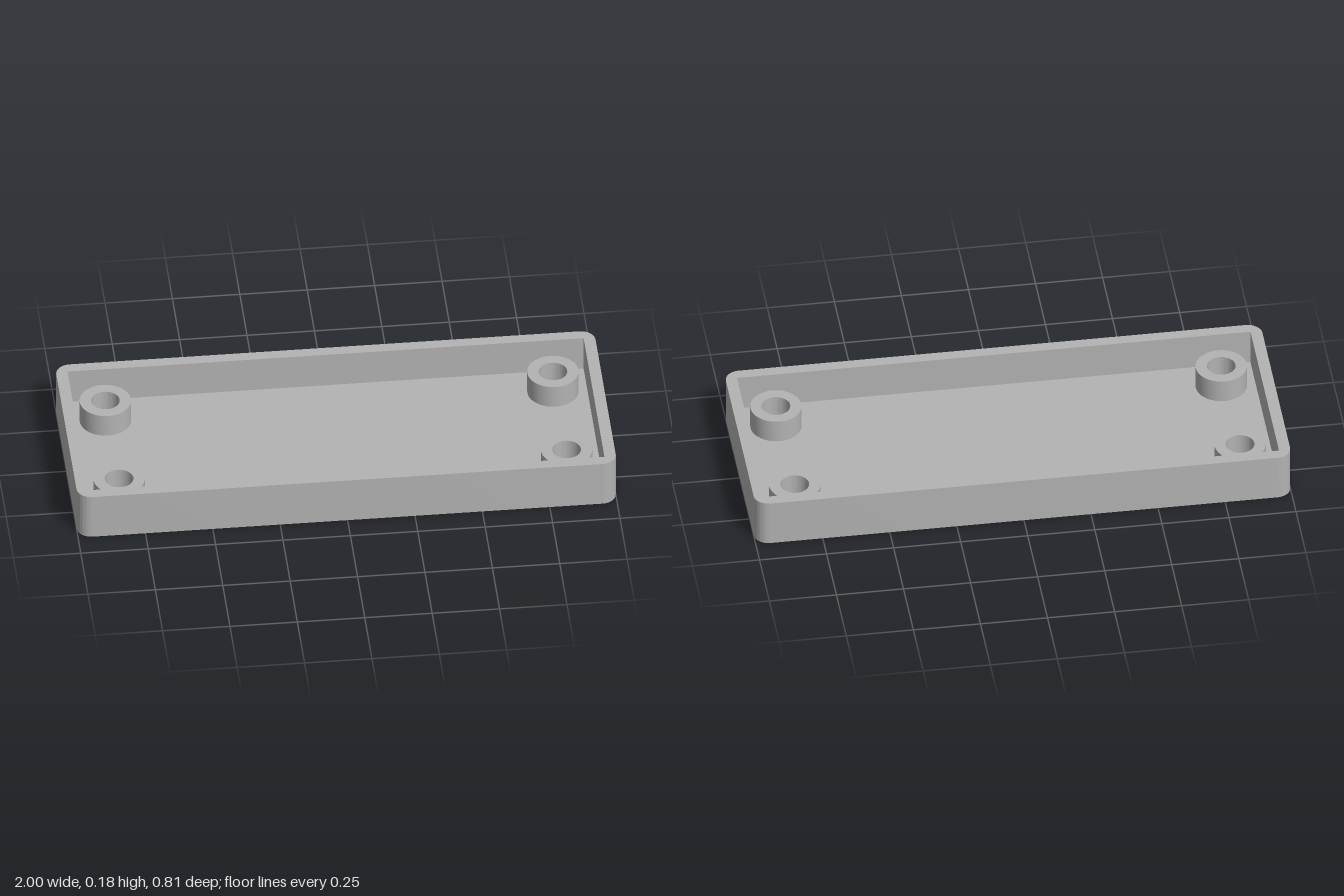
import * as THREE from 'three';
import { toCreasedNormals } from 'three/addons/utils/BufferGeometryUtils.js';

const HEIGHT = 0.184, FLOOR = 0.043, BOSS_TOP = 0.134;
const HALF_X = 1, HALF_Z = 0.405, WALL = 0.043, CORNER = 0.055;
const BOSS_R = 0.095, HOLE_R = 0.053;
const BOSSES = [[-0.83, -0.238], [0.83, -0.238], [-0.83, 0.238], [0.83, 0.238]];

// Rectangle outline, with rounded corners when r > 0
function rectangle(a, b, r) {
  const s = new THREE.Shape();
  if (!r) {
    s.moveTo(-a, -b).lineTo(a, -b).lineTo(a, b).lineTo(-a, b);
    return s;
  }
  s.absarc(a - r, -b + r, r, -Math.PI / 2, 0);
  s.absarc(a - r, b - r, r, 0, Math.PI / 2);
  s.absarc(-a + r, b - r, r, Math.PI / 2, Math.PI);
  s.absarc(-a + r, -b + r, r, Math.PI, Math.PI * 1.5);
  return s;
}

function circle([x, z], r) {
  return new THREE.Shape().absarc(x, z, r, 0, Math.PI * 2);
}

function withHoles(shape, holes) {
  shape.holes.push(...holes);
  return shape;
}

// Horizontal face at height y, facing up or down
function face(shape, y, down = false) {
  const g = new THREE.ShapeGeometry(shape, 24).toNonIndexed();
  return finish(g.attributes.position, y, down);
}

// Upright skin around an outline, facing out or inward
function skin(shape, y0, y1, inward = false) {
  const g = new THREE.ExtrudeGeometry(shape, { depth: y1 - y0, bevelEnabled: false, curveSegments: 24 });
  const { start, count } = g.groups[1];
  const part = g.attributes.position.array.slice(start * 3, (start + count) * 3);
  return finish(new THREE.BufferAttribute(part, 3), y0, inward);
}

// Lays the shape flat, reversing the corner order where asked
function finish(position, y, flip) {
  const points = [];
  for (let i = 0; i < position.count; i++) points.push(new THREE.Vector3().fromBufferAttribute(position, i));
  if (flip) points.reverse();
  const g = new THREE.BufferGeometry().setFromPoints(points);
  g.rotateX(-Math.PI / 2).translate(0, y, 0);
  return toCreasedNormals(g, 0.6);
}

export function createModel() {
  const model = new THREE.Group();
  model.name = 'enclosureTray';
  const grey = new THREE.MeshStandardMaterial({ color: 0xb3b3b3 });
  grey.name = 'grey';

  const add = (parent, name, geometry) => {
    const mesh = new THREE.Mesh(geometry, grey);
    mesh.name = name;
    parent.add(mesh);
  };
  const outer = () => rectangle(HALF_X, HALF_Z, CORNER);
  const inner = () => rectangle(HALF_X - WALL, HALF_Z - WALL, 0);

  // Tray shell
  add(model, 'underside', face(withHoles(outer(), BOSSES.map(p => circle(p, HOLE_R))), 0, true));
  add(model, 'outerWall', skin(outer(), 0, HEIGHT));
  add(model, 'rim', face(withHoles(outer(), [inner()]), HEIGHT));
  add(model, 'innerWall', skin(inner(), FLOOR, HEIGHT, true));
  add(model, 'floor', face(withHoles(inner(), BOSSES.map(p => circle(p, BOSS_R))), FLOOR));

  // Screw bosses with holes right through the floor
  for (const p of BOSSES) {
    const boss = new THREE.Group();
    boss.name = 'screwBoss';
    add(boss, 'bossSide', skin(circle(p, BOSS_R), FLOOR, BOSS_TOP));
    add(boss, 'bossTop', face(withHoles(circle(p, BOSS_R), [circle(p, HOLE_R)]), BOSS_TOP));
    add(boss, 'screwHole', skin(circle(p, HOLE_R), 0, BOSS_TOP, true));
    model.add(boss);
  }
  return model;
}
